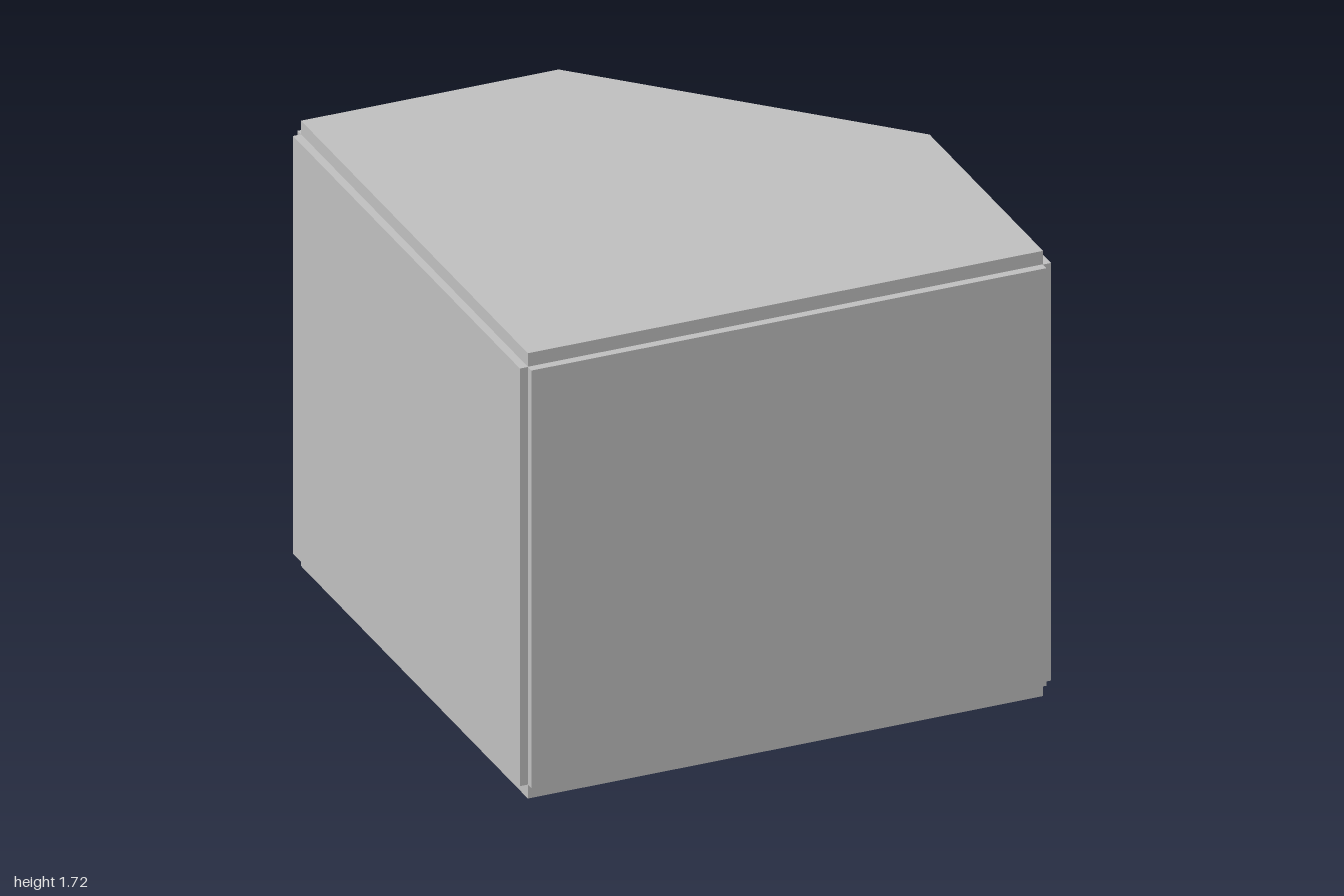
import * as THREE from 'three';

const E = 0.97;          // half width of the boards
const T = 0.052;         // board thickness
const Y0 = 0.054, Y1 = 1.667; // panel bottom and top

export function createModel() {
  const group = new THREE.Group();
  group.name = 'cornerCabinet';
  const grey = new THREE.MeshStandardMaterial({ color: 0xc0c0c0 });
  grey.name = 'grey';

  const add = (name, geometry, x, y, z) => {
    const mesh = new THREE.Mesh(geometry, grey);
    mesh.name = name;
    mesh.position.set(x, y, z);
    group.add(mesh);
  };

  // Five-sided boards with one corner cut off; shape y becomes -z
  const outline = new THREE.Shape([
    [-E, -E], [E, -E], [E, 0], [0, E], [-E, E],
  ].map(([x, y]) => new THREE.Vector2(x, y)));
  const board = new THREE.ExtrudeGeometry(outline, { depth: T, bevelEnabled: false });
  board.rotateX(-Math.PI / 2);
  add('bottomBoard', board, 0, 0, 0);
  add('shelf', board, 0, 0.836, 0);
  add('topBoard', board, 0, 1.668, 0);

  // Upright panels, standing slightly proud of the boards
  const panel = (name, x0, x1, z0, z1) => add(name,
    new THREE.BoxGeometry(x1 - x0, Y1 - Y0, z1 - z0),
    (x0 + x1) / 2, (Y0 + Y1) / 2, (z0 + z1) / 2);
  panel('frontPanel', -E, E, 1 - T, 1);
  panel('rightPanel', -1, -1 + T, -E, E);
  panel('backPanel', -E, 0, -1, -1 + T);
  panel('leftPanel', 1 - T, 1, 0, E);

  return group;
}
